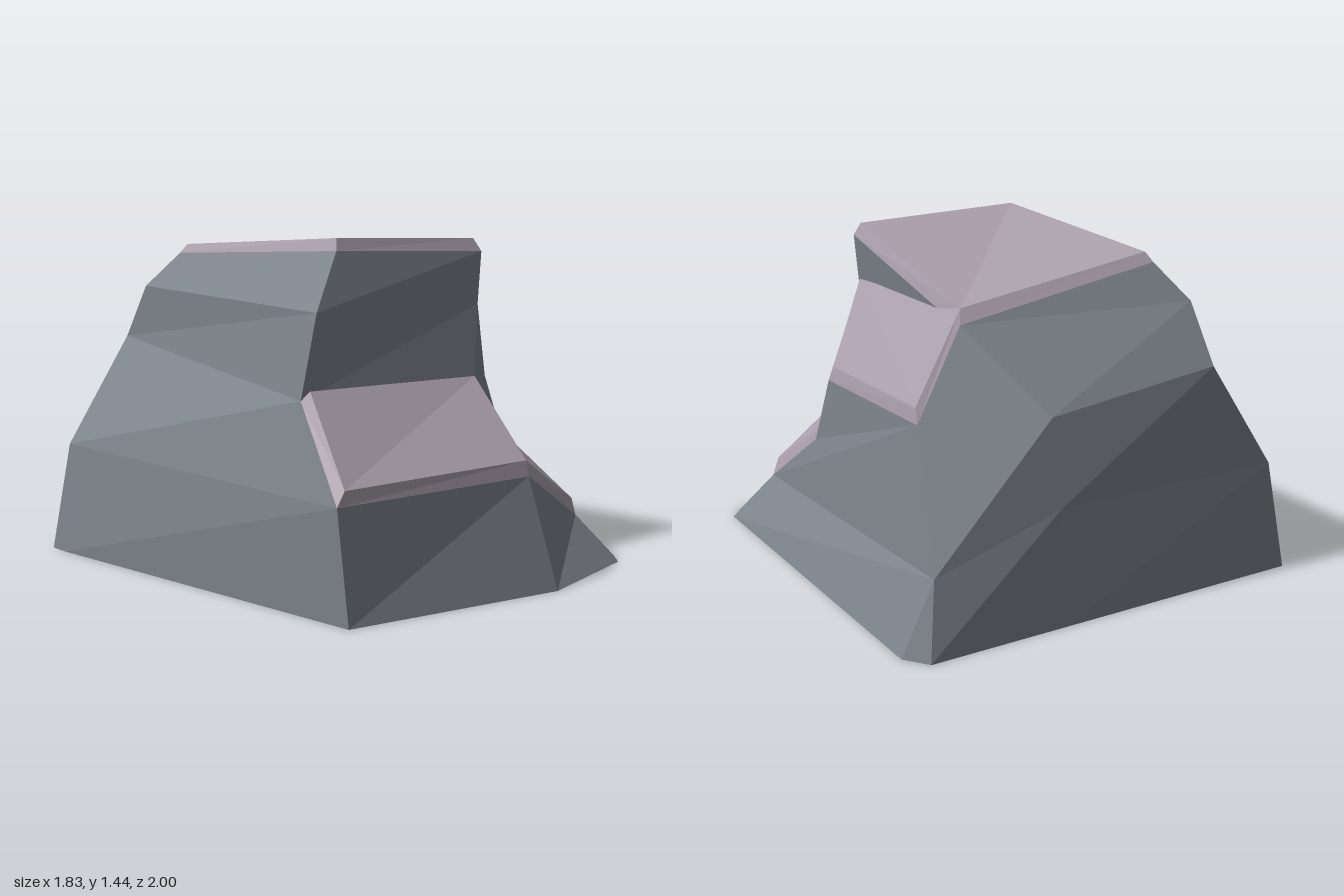
import * as THREE from 'three';

const stone = new THREE.MeshStandardMaterial({ color: 0x7c828a });
stone.name = 'blue grey stone';
const worn = new THREE.MeshStandardMaterial({ color: 0xaa9fac });
worn.name = 'pale mauve stone';

// Flat-faced mesh from triangles, dropping collapsed ones
function facets(name, material, triangles) {
  const solid = triangles.filter(([a, b, c]) => new THREE.Triangle(
    new THREE.Vector3(...a), new THREE.Vector3(...b), new THREE.Vector3(...c)).getArea() > 1e-6);
  const geometry = new THREE.BufferGeometry();
  geometry.setAttribute('position', new THREE.Float32BufferAttribute(solid.flat(2), 3));
  geometry.computeVertexNormals();
  const mesh = new THREE.Mesh(geometry, material);
  mesh.name = name;
  return mesh;
}

// Closed band between two rings, both counter-clockwise seen from above
function band(low, high) {
  return low.flatMap((a, i) => {
    const j = (i + 1) % low.length;
    return [[a, low[j], high[j]], [a, high[j], high[i]]];
  });
}

const fan = (ring) => ring.slice(2).map((p, i) => [ring[0], ring[i + 1], p]);

// Worn surface with a chamfer running from its rim to its top
const slab = (name, rim, top) => facets(name, worn, [...band(rim, top), ...fan(top)]);

export function createModel() {
  const rock = new THREE.Group();
  rock.name = 'steppedRock';

  // Outline on the ground, with clipped corners
  const base = [
    [-0.75, 0, 0.78], [0.22, 0, 1], [0.76, 0, 0.9], [0.83, 0, 0.82], [0.91, 0, -0.9],
    [0.84, 0, -1], [0.22, 0, -1], [-0.92, 0, -1], [-0.92, 0, -0.91],
  ];
  // Upper cross-sections: front left, front middle, front right, back right, back middle, back left
  const foot = [
    [-0.75, 0.46, 0.715], [0.2, 0.46, 0.85], [0.66, 0.2, 0.735],
    [0.78, 0.3, -0.925], [0.225, 0.475, -0.955], [-0.84, 0.475, -0.965],
  ];
  const waist = [
    [-0.66, 0.82, 0.41], [0.27, 0.83, 0.48], [0.63, 0.48, 0.335],
    [0.68, 0.81, -0.64], [0.225, 0.83, -0.89], [-0.52, 0.94, -0.955],
  ];
  const shoulder = [
    [-0.575, 1.16, 0.41], [0.355, 1.13, 0.415], [0.61, 0.77, 0.235],
    waist[3], [0.43, 1.15, -0.55], [-0.52, 1.18, -0.8],
  ];
  const crown = [
    [-0.41, 1.39, 0.345], [0.38, 1.355, 0.41], [0.42, 1.17, -0.4],
    shoulder[4], shoulder[4], [-0.42, 1.33, -0.675],
  ];

  // Body: one loft; the clipped corners close to single points above the ground
  const widen = (ring) => [0, 1, 2, 2, 3, 3, 4, 5, 5].map((i) => ring[i]);
  const rings = [base, ...[foot, waist, shoulder, crown].map(widen)];
  const walls = rings.slice(1).flatMap((ring, i) => band(rings[i], ring));
  rock.add(facets('rockBody', stone, walls));
  rock.add(facets('underside', stone, fan([...base].reverse())));

  // Front ledge, in two facets meeting at a crease
  const crease = [0.2, 0.525, 0.835];
  rock.add(slab('frontLedge',
    [foot[0], foot[1], waist[1], waist[0]],
    [[-0.71, 0.52, 0.715], crease, waist[1], [-0.62, 0.855, 0.42]]));
  rock.add(slab('frontLedgeCorner',
    [foot[1], foot[2], waist[2], waist[1]],
    [crease, [0.63, 0.28, 0.735], [0.615, 0.525, 0.34], waist[1]]));

  // Sloping shelf on the +x side, running up into the summit
  const peakCorner = [0.41, 1.21, -0.52];
  rock.add(slab('sideShelf',
    [shoulder[1], shoulder[2], shoulder[3], shoulder[4], crown[2]],
    [[0.365, 1.16, 0.39], [0.6, 0.835, 0.205], [0.67, 0.87, -0.61], peakCorner, crown[2]]));

  // Summit
  rock.add(slab('summit',
    [crown[0], crown[1], crown[2], crown[3], crown[5]],
    [[-0.39, 1.44, 0.325], [0.36, 1.41, 0.38], peakCorner, peakCorner, [-0.4, 1.37, -0.645]]));

  return rock;
}
